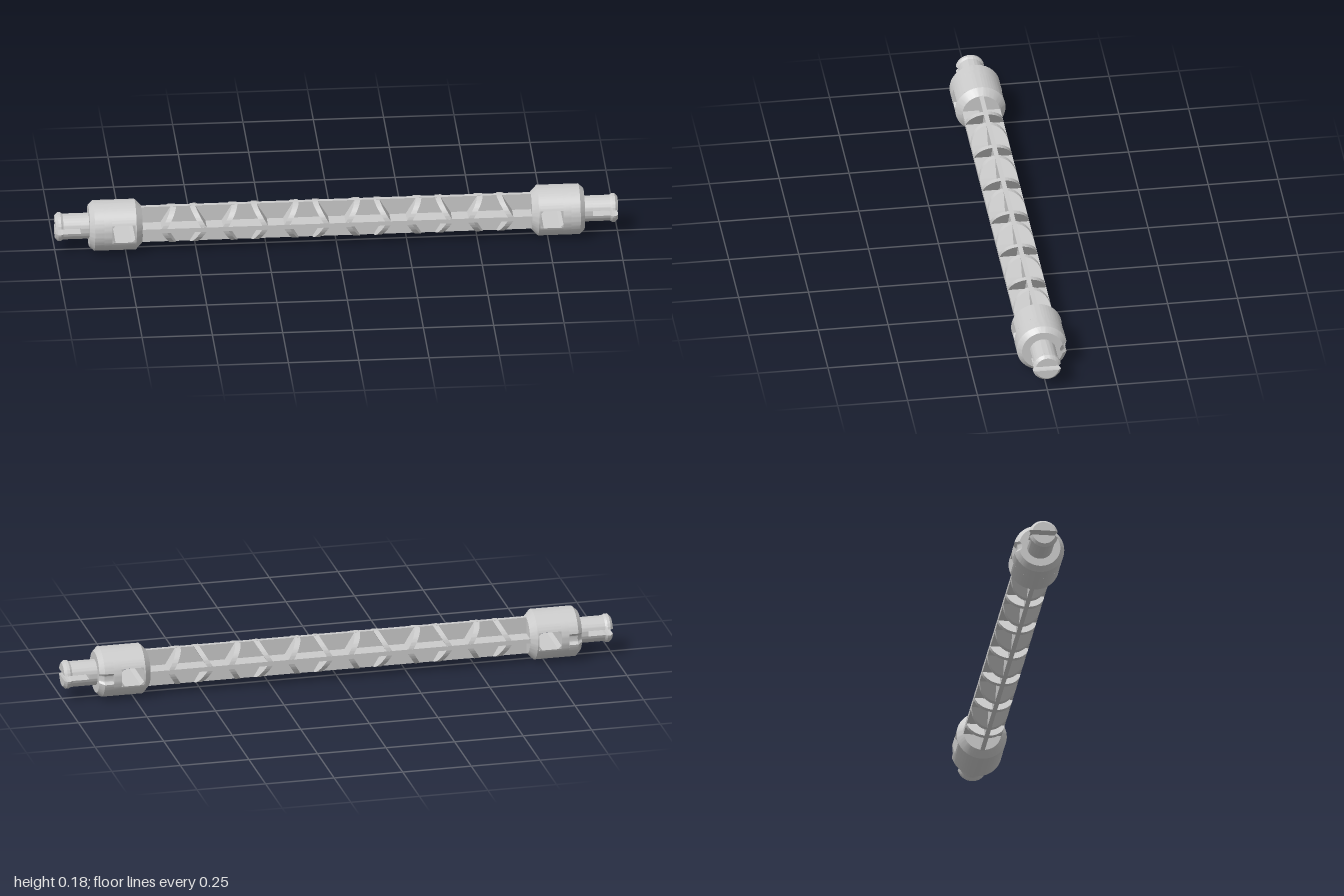
import * as THREE from 'three';
import { toCreasedNormals } from 'three/addons/utils/BufferGeometryUtils.js';

const AXIS_Y = 0.091;
const ROD_R = 0.068;
const COLLAR_R = 0.09;
const material = new THREE.MeshStandardMaterial({ color: 0xcccccc });

function addMesh(parent, name, geometry) {
  const mesh = new THREE.Mesh(toCreasedNormals(geometry, 0.5), material);
  mesh.name = name;
  parent.add(mesh);
  return mesh;
}

// Cross-section extruded along x from x0 to x1, scaled at each end for tapers
function prism(shape, x0, x1, s0 = 1, s1 = 1) {
  const g = new THREE.ExtrudeGeometry(shape, { depth: 1, bevelEnabled: false, curveSegments: 40 });
  g.rotateY(Math.PI / 2);
  const p = g.attributes.position;
  for (let i = 0; i < p.count; i++) {
    const t = p.getX(i);
    const s = s0 + (s1 - s0) * t;
    p.setXYZ(i, x0 + (x1 - x0) * t, p.getY(i) * s, p.getZ(i) * s);
  }
  return g;
}

const disc = (r) => new THREE.Shape().absarc(0, 0, r, 0, Math.PI * 2, false);

// Part of a disc above (side 0) or below (side 1) a chord at height h
function segment(r, h, side) {
  const a = Math.asin(h / r);
  const turn = side * Math.PI;
  return new THREE.Shape().absarc(0, 0, r, turn + a, turn + Math.PI - a, false);
}

// Disc with a round bite taken out of its back
function notchedDisc(r, centre, bite) {
  const u = (centre * centre + r * r - bite * bite) / (2 * centre);
  const v = Math.sqrt(r * r - u * u);
  const a = Math.atan2(v, u);
  const b = Math.atan2(v, u - centre);
  const s = new THREE.Shape();
  s.absarc(0, 0, r, a, Math.PI * 2 - a, false);
  s.absarc(centre, 0, bite, Math.PI * 2 - b, b, true);
  return s;
}

// Cross-shaped core with leaning half-disc ribs
function createRod() {
  const rod = new THREE.Group();
  rod.name = 'rod';
  addMesh(rod, 'verticalFin', new THREE.BoxGeometry(1.42, ROD_R * 2, 0.016));
  addMesh(rod, 'horizontalFin', new THREE.BoxGeometry(1.42, 0.016, ROD_R * 2));

  const pitch = 0.109, thickness = 0.02, slope = 0.6;
  for (let i = 0; i < 12; i++) {
    const lean = i % 2 === 0 ? slope : -slope;
    const x = (i - 5.5) * pitch - lean * ROD_R / 2;
    for (const side of [0, 1]) {
      const g = prism(segment(ROD_R, 0, side), x - thickness / 2, x + thickness / 2);
      const p = g.attributes.position;
      for (let k = 0; k < p.count; k++) p.setX(k, p.getX(k) + lean * Math.abs(p.getY(k)));
      addMesh(rod, side ? 'lowerRib' : 'upperRib', g);
    }
  }
  return rod;
}

// Collar with a window through it, and a split pin with a lip
function createEnd(name) {
  const end = new THREE.Group();
  end.name = name;
  const w0 = 0.72, w1 = 0.802, wh = 0.033;

  addMesh(end, 'collarInnerChamfer', prism(disc(COLLAR_R), 0.692, 0.715, 0.74, 1));
  addMesh(end, 'collarInnerBand', prism(disc(COLLAR_R), 0.715, w0));
  addMesh(end, 'collarOuterBand', prism(disc(COLLAR_R), w1, 0.83));
  const notched = notchedDisc(COLLAR_R, 0.1, 0.024);
  addMesh(end, 'collarNotchBand', prism(notched, 0.83, 0.863));
  addMesh(end, 'collarOuterChamfer', prism(notched, 0.863, 0.88, 1, 0.82));

  for (const side of [0, 1]) {
    addMesh(end, 'collarWindowBand', prism(segment(COLLAR_R, wh, side), w0, w1));
  }

  // Cut corners of the window
  const c = 0.012, depth = 0.166;
  for (const [x, dx] of [[w0, 1], [w1, -1]]) {
    for (const sy of [1, -1]) {
      const corner = new THREE.Shape([
        new THREE.Vector2(x, sy * wh),
        new THREE.Vector2(x + dx * c, sy * wh),
        new THREE.Vector2(x, sy * (wh - c)),
      ]);
      const g = new THREE.ExtrudeGeometry(corner, { depth, bevelEnabled: false });
      addMesh(end, 'windowCorner', g.translate(0, 0, -depth / 2));
    }
  }

  // Pin: solid root, then two prongs
  addMesh(end, 'pinRoot', prism(disc(0.046), 0.875, 0.91));
  const lip = 0.051 / 0.046;
  const steps = [[0.91, 0.972, 1, 1], [0.972, 0.98, 1, lip], [0.98, 0.99, lip, lip], [0.99, 1, lip, 0.9]];
  for (const side of [0, 1]) {
    for (const s of steps) addMesh(end, 'pinProng', prism(segment(0.046, 0.01, side), ...s));
  }
  return end;
}

export function createModel() {
  const model = new THREE.Group();
  model.name = 'connectorRod';
  const body = new THREE.Group();
  body.name = 'body';
  body.position.y = AXIS_Y;
  const left = createEnd('leftEnd');
  const right = createEnd('rightEnd');
  right.rotation.z = Math.PI;
  body.add(createRod(), left, right);
  model.add(body);
  return model;
}
